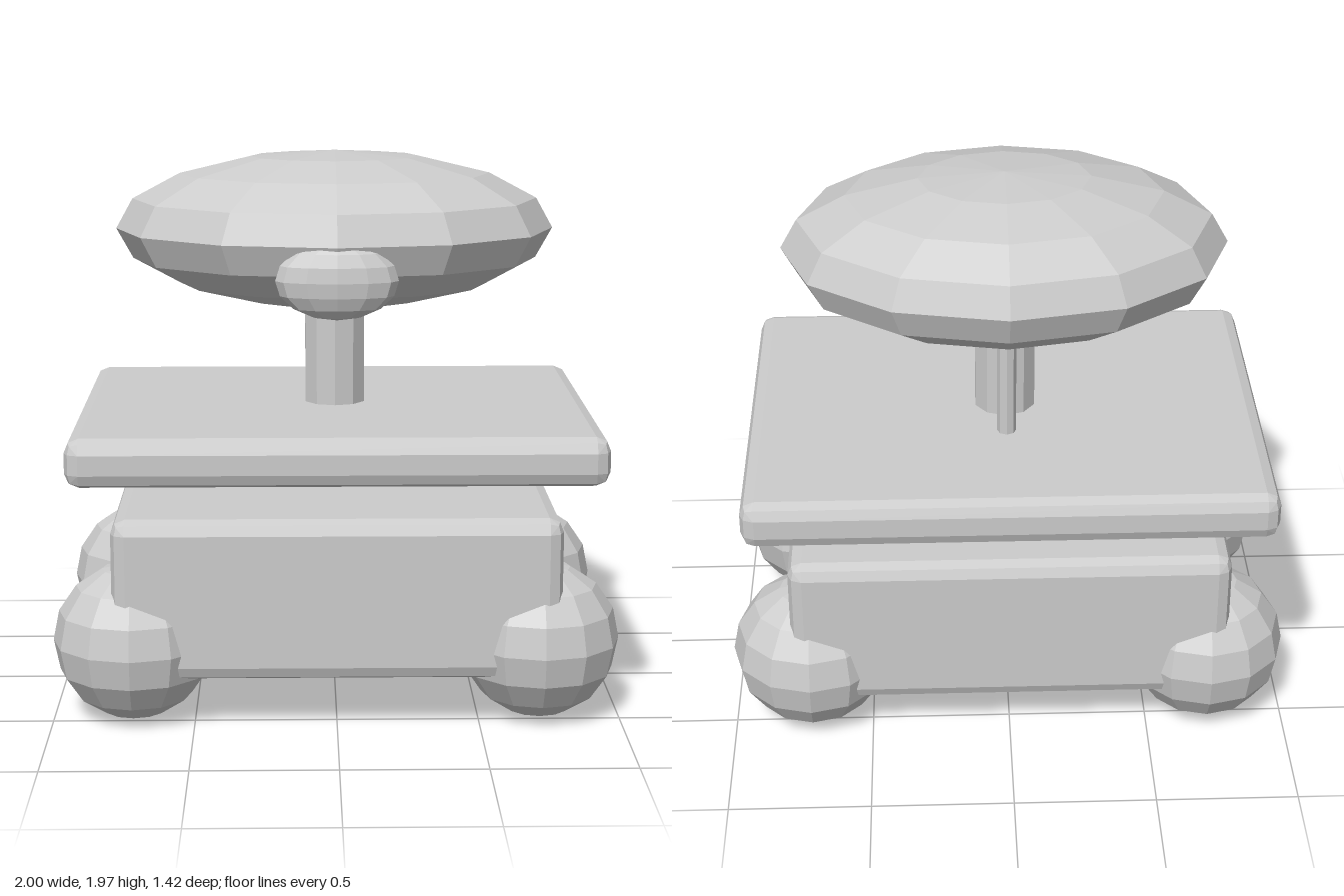
import * as THREE from 'three';
import { ConvexGeometry } from 'three/addons/geometries/ConvexGeometry.js';

const material = new THREE.MeshStandardMaterial({ color: 0xcccccc, flatShading: true });

function addPart(parent, name, geometry, x, y, z) {
  const mesh = new THREE.Mesh(geometry, material);
  mesh.name = name;
  mesh.position.set(x, y, z);
  parent.add(mesh);
  return mesh;
}

// Box with two-step bevelled edges: hull of seven points around each corner
function bevelledBox(w, h, d, r) {
  const e = Math.SQRT1_2, c = 1 / Math.sqrt(3);
  const octant = [[1, 0, 0], [0, 1, 0], [0, 0, 1], [e, e, 0], [e, 0, e], [0, e, e], [c, c, c]];
  const points = [];
  for (const sx of [-1, 1]) for (const sy of [-1, 1]) for (const sz of [-1, 1]) {
    for (const [a, b, g] of octant) {
      points.push(new THREE.Vector3(
        sx * (w / 2 - r + r * a),
        sy * (h / 2 - r + r * b),
        sz * (d / 2 - r + r * g)));
    }
  }
  return new ConvexGeometry(points);
}

// Low-poly ball stretched along each axis
function ellipsoid(rx, ry, rz) {
  return new THREE.SphereGeometry(1, 12, 8).scale(rx, ry, rz);
}

export function createModel() {
  const model = new THREE.Group();
  model.name = 'rover';

  // Body and the separate plate floating above it
  addPart(model, 'body', bevelledBox(1.56, 0.57, 1.28, 0.05), 0, 0.475, 0);
  addPart(model, 'deckPlate', bevelledBox(1.85, 0.17, 1.42, 0.05), 0, 0.975, 0);

  // Four ball wheels
  const wheelGeometry = ellipsoid(0.285, 0.28, 0.28);
  for (const [side, x] of [['Left', 0.715], ['Right', -0.715]]) {
    addPart(model, 'front' + side + 'Wheel', wheelGeometry, x, 0.285, 0.43);
    addPart(model, 'back' + side + 'Wheel', wheelGeometry, x, 0.285, -0.43);
  }

  // Neck and the thin rod behind it
  addPart(model, 'neck', new THREE.CylinderGeometry(0.112, 0.112, 0.38, 10), 0, 1.235, 0);
  addPart(model, 'rod', new THREE.CylinderGeometry(0.034, 0.034, 0.36, 8), 0, 1.225, -0.213);

  // Head with a small lens at the front
  addPart(model, 'head', ellipsoid(0.785, 0.28, 0.57), 0, 1.69, 0);
  addPart(model, 'lens', ellipsoid(0.21, 0.135, 0.08), 0, 1.572, 0.517);

  return model;
}
